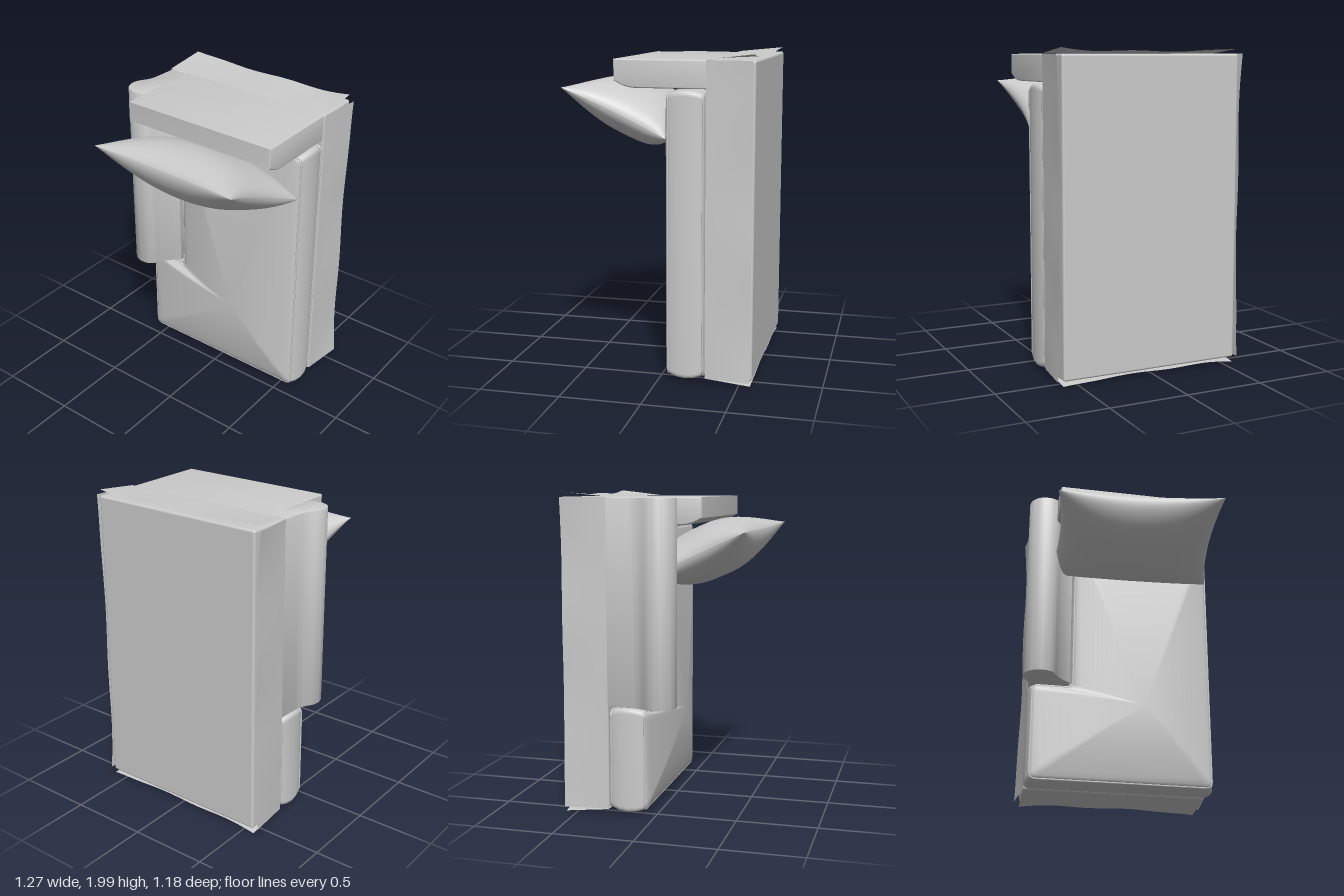
import * as THREE from 'three';
import { toCreasedNormals } from 'three/addons/utils/BufferGeometryUtils.js';
import { RoundedBoxGeometry } from 'three/addons/geometries/RoundedBoxGeometry.js';

const grey = new THREE.MeshStandardMaterial({ color: 0xcccccc });
const thin = new THREE.MeshStandardMaterial({ color: 0xcccccc, side: THREE.DoubleSide });

function add(group, name, geometry, material = grey) {
  const mesh = new THREE.Mesh(geometry, material);
  mesh.name = name;
  group.add(mesh);
  return mesh;
}

// L-shaped outline with filleted corners, moved inwards by d
function outline(d) {
  const x0 = -0.59 + d, x1 = 0.615 - d, y0 = 0.025 + d, y1 = 1.785 - d;
  const nx = -0.33 + d, ny = 0.685 - d, r = 0.035;
  const corners = [[x0, y0], [x1, y0], [x1, y1], [nx, y1], [nx, ny], [x0, ny]]
    .map(([x, y]) => new THREE.Vector2(x, y));
  return corners.flatMap((p, i) => {
    const toward = (q) => q.clone().sub(p).setLength(r).add(p);
    const a = toward(corners[(i + 5) % 6]), b = toward(corners[(i + 1) % 6]);
    return new THREE.QuadraticBezierCurve(a, p, b).getPoints(6);
  });
}

// Cushion: rings from the flat back, round the bulging sides, up to the crowned front
function cushionGeometry() {
  const centre = new THREE.Vector2(0.15, 0.55);
  const rings = [[0, 0.04, -0.285], [1, 0.04, -0.285], [1, 0.025, -0.28], [1, 0.015, -0.26],
    [1, 0.004, -0.22], [1, 0, -0.17], [1, 0.004, -0.12], [1, 0.014, -0.08],
    [1, 0.024, -0.058], [1, 0.04, -0.048]];
  for (let i = 1; i <= 14; i++) {
    const s = 1 - i / 14;
    rings.push([s, 0.04, -0.048 + 0.062 * (1 - s * s)]);
  }
  const positions = [], index = [];
  let n = 0;
  rings.forEach(([s, inset, z], i) => {
    const points = outline(inset);
    n = points.length;
    points.forEach((p, j) => {
      const q = p.sub(centre).multiplyScalar(s).add(centre);
      positions.push(q.x, q.y, z);
      if (i === 0) return;
      const a = (i - 1) * n + j, b = (i - 1) * n + (j + 1) % n;
      index.push(a, b, b + n, a, b + n, a + n);
    });
  });
  const geo = new THREE.BufferGeometry();
  geo.setAttribute('position', new THREE.Float32BufferAttribute(positions, 3));
  geo.setIndex(index);
  geo.computeVertexNormals();
  return geo;
}

// Piping that follows the cushion outline
function pipingGeometry(z) {
  const path = new THREE.CurvePath();
  const pts = outline(0.022).map((p) => new THREE.Vector3(p.x, p.y, z));
  pts.forEach((p, i) => path.add(new THREE.LineCurve3(p, pts[(i + 1) % pts.length])));
  return new THREE.TubeGeometry(path, 240, 0.007, 6, true);
}

// One half of the pillow: a grid puffed out, with pinched edges and a blunt back
function pillowHalf(side) {
  const geo = new THREE.PlaneGeometry(2, 2, 32, 32);
  const p = geo.attributes.position;
  for (let i = 0; i < p.count; i++) {
    const u = Math.sin(p.getX(i) * Math.PI / 2) * side;
    const v = Math.sin(p.getY(i) * Math.PI / 2);
    const puffU = Math.max(0, 1 - u * u) ** 0.5;
    const puffV = v > 0 ? (1 - v * v) ** 0.6 : Math.max(0, 1 - v ** 4) ** 0.5;
    const x = 0.54 * u * (1 - 0.08 * (1 - v * v));
    const y = 0.345 * v * (1 - 0.1 * (1 - u * u)) + 0.02 * u * Math.max(v, 0);
    p.setXYZ(i, x, y, side * 0.175 * puffU * puffV);
  }
  geo.computeVertexNormals();
  return geo;
}

// Skirt panel flaring outwards towards its hem, with a gentle wave
function skirtGeometry(length, distance) {
  const geo = new THREE.PlaneGeometry(1, 1, 40, 6);
  const p = geo.attributes.position;
  for (let i = 0; i < p.count; i++) {
    const t = p.getX(i) * 2, w = 0.5 - p.getY(i);
    const flare = 0.012 + 0.018 * t ** 4 + 0.004 * Math.sin(t * 7);
    p.setXYZ(i, t * length / 2, distance + 0.003 + w * flare, -0.292 - 0.28 * w);
  }
  geo.computeVertexNormals();
  return geo;
}

export function createModel() {
  const model = new THREE.Group();
  model.name = 'chaise';

  // Base block
  add(model, 'base', new RoundedBoxGeometry(1.175, 1.92, 0.292, 4, 0.015))
    .position.set(0.01, 1, -0.436);

  // Four flared skirt panels around the base
  for (let i = 0; i < 4; i++) {
    const long = i % 2 === 1;
    const skirt = add(model, 'skirt', skirtGeometry(long ? 1.92 : 1.175, long ? 0.588 : 0.96), thin);
    skirt.position.set(0.01, 1, 0);
    skirt.rotation.z = i * Math.PI / 2;
  }

  // Seat cushion with piping on both edges
  add(model, 'seatCushion', cushionGeometry());
  for (const z of [-0.062, -0.276]) add(model, 'cushionPiping', pipingGeometry(z));

  // Rolled arm, its profile swept along the length
  const arm = new THREE.Shape();
  arm.moveTo(-0.33, -0.29);
  arm.lineTo(-0.335, -0.05);
  arm.bezierCurveTo(-0.37, -0.03, -0.42, 0.02, -0.445, 0.08);
  arm.bezierCurveTo(-0.465, 0.115, -0.49, 0.125, -0.53, 0.125);
  arm.bezierCurveTo(-0.60, 0.125, -0.635, 0.07, -0.635, 0.02);
  arm.bezierCurveTo(-0.635, -0.05, -0.58, -0.05, -0.577, -0.16);
  arm.lineTo(-0.57, -0.29);
  const armGeo = new THREE.ExtrudeGeometry(arm, {
    depth: 1.255, curveSegments: 14, bevelThickness: 0.006, bevelSize: 0.005, bevelSegments: 2,
  });
  armGeo.rotateX(Math.PI / 2).translate(0, 1.95, 0);
  add(model, 'arm', toCreasedNormals(armGeo, 0.6));

  // Backrest, with a curved underside at its free edge
  const back = new THREE.Shape();
  back.moveTo(0.29, 1.8);
  back.lineTo(-0.12, 1.8);
  back.bezierCurveTo(-0.19, 1.8, -0.22, 1.815, -0.26, 1.84);
  back.lineTo(-0.26, 1.952);
  back.lineTo(0.29, 1.952);
  const backGeo = new THREE.ExtrudeGeometry(back, {
    depth: 1.03, curveSegments: 10, bevelThickness: 0.01, bevelSize: 0.008, bevelSegments: 3,
  });
  backGeo.rotateY(Math.PI / 2).translate(-0.45, 0, 0);
  add(model, 'backrest', toCreasedNormals(backGeo, 0.6));

  // Loose pillow, tilted against the backrest
  const pillow = new THREE.Group();
  pillow.name = 'pillow';
  for (const side of [1, -1]) add(pillow, 'pillowHalf', pillowHalf(side));
  pillow.position.set(0.04, 1.63, 0.255);
  pillow.rotation.set(Math.PI / 2 - 0.42, 0, 0.03);
  model.add(pillow);

  return model;
}
